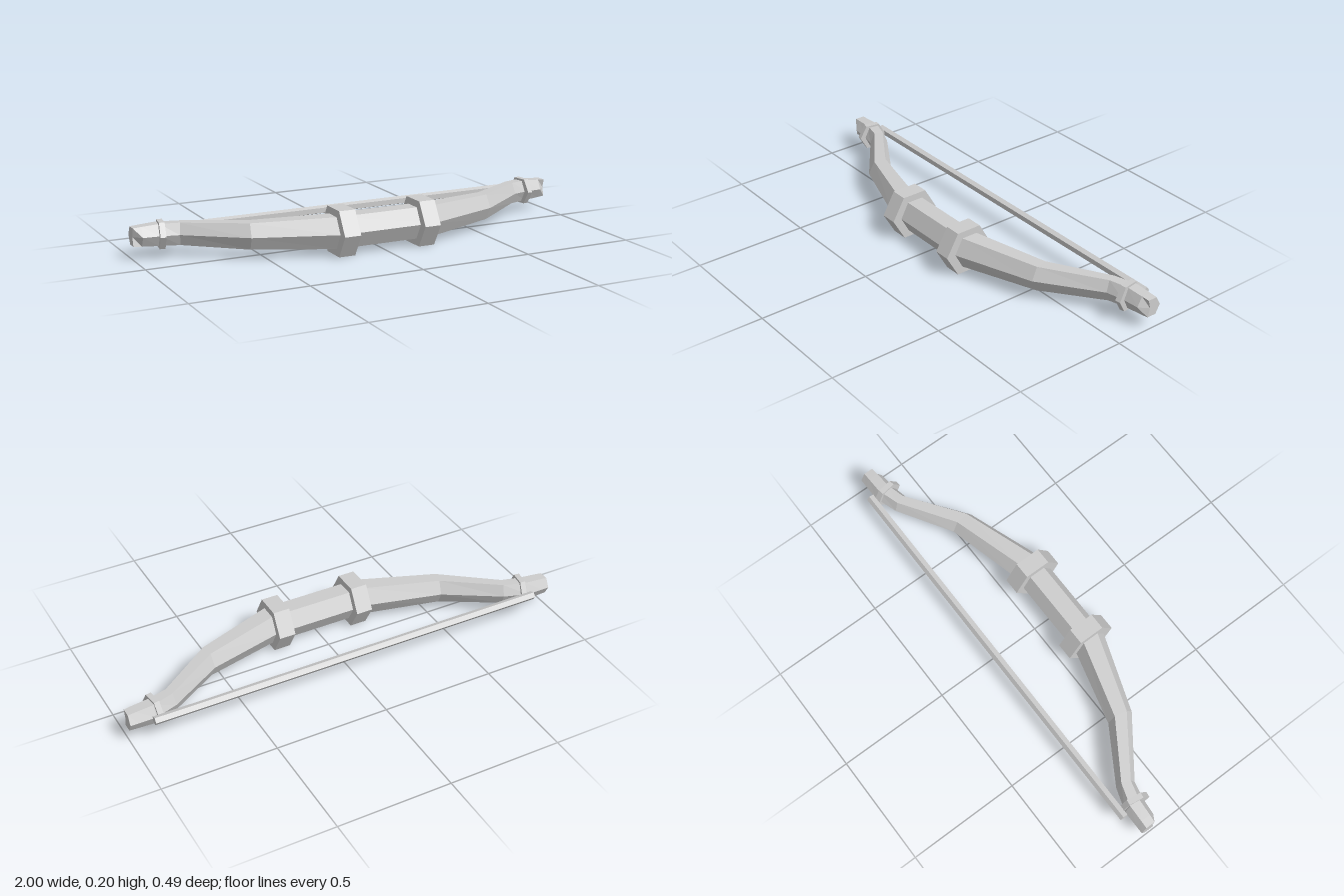
import * as THREE from 'three';

const MID_Y = 0.0985;

// Limb stations from centre to tip: x, z, half depth, half height, forward lean in x, notch depth
const HALF = [
  [0.22, 0.129, 0.074, 0.0685, 0, 0],
  [0.56, 0.025, 0.055, 0.056, 0.01, 0],
  [0.8, -0.137, 0.038, 0.048, 0.014, 0],
  [0.89, -0.163, 0.047, 0.047, 0, 0],
  [0.965, -0.166, 0.044, 0.042, 0, 0],
  [1, -0.168, 0.042, 0.039, 0, 0.031],
];

// Hexagonal loft running along x, closed at both ends
function loft(stations) {
  const pos = [], index = [], n = 6;
  for (const [x, z, w, h, lean, notch] of stations) {
    for (let j = 0; j < n; j++) {
      const a = (j / n) * Math.PI * 2;
      pos.push(
        x + lean * Math.cos(a),
        MID_Y + (h / Math.sin(Math.PI / 3)) * Math.sin(a),
        z + w * Math.cos(a) - (j === 0 ? notch : 0),
      );
    }
  }
  const last = stations.length - 1;
  for (let i = 0; i < last; i++) {
    for (let j = 0; j < n; j++) {
      const p = i * n + j, q = i * n + ((j + 1) % n);
      index.push(p, p + n, q, q, p + n, q + n);
    }
  }
  // End caps as fans around the section centres
  const c = pos.length / 3;
  for (const s of [stations[0], stations[last]]) pos.push(s[0], MID_Y, s[1]);
  for (let j = 0; j < n; j++) {
    const k = (j + 1) % n;
    index.push(c, j, k, c + 1, last * n + k, last * n + j);
  }
  const indexed = new THREE.BufferGeometry();
  indexed.setAttribute('position', new THREE.Float32BufferAttribute(pos, 3));
  indexed.setIndex(index);
  const geo = indexed.toNonIndexed();
  geo.computeVertexNormals();
  return geo;
}

// Prism along x with one corner pointing to -z
function prism(radius, length, sides) {
  const geo = new THREE.CylinderGeometry(radius, radius, length, sides);
  geo.rotateY(Math.PI);
  geo.rotateZ(-Math.PI / 2);
  return geo;
}

export function createModel() {
  const group = new THREE.Group();
  const grey = new THREE.MeshStandardMaterial({ color: 0xcccccc, flatShading: true });
  grey.name = 'light grey';

  const add = (name, geo, x = 0, y = 0, z = 0) => {
    const mesh = new THREE.Mesh(geo, grey);
    mesh.name = name;
    mesh.position.set(x, y, z);
    group.add(mesh);
    return mesh;
  };

  // Curved bow stave with notched tips
  const mirrored = HALF.map(([x, z, w, h, lean, notch]) => [-x, z, w, h, -lean, notch]).reverse();
  add('stave', loft([...mirrored, ...HALF]));

  // Collars beside the grip and near the tips
  for (const [side, label] of [[1, 'left'], [-1, 'right']]) {
    add(label + 'GripCollar', prism(0.1137, 0.074, 6), side * 0.188, MID_Y, 0.131);
    const tip = add(label + 'TipCollar', prism(0.065, 0.024, 6), side * 0.879, MID_Y, -0.153);
    tip.rotation.y = side * 0.15;
  }

  // Straight five-sided string
  add('string', prism(0.019, 1.81, 5), 0, MID_Y + 0.001, -0.226);

  return group;
}
